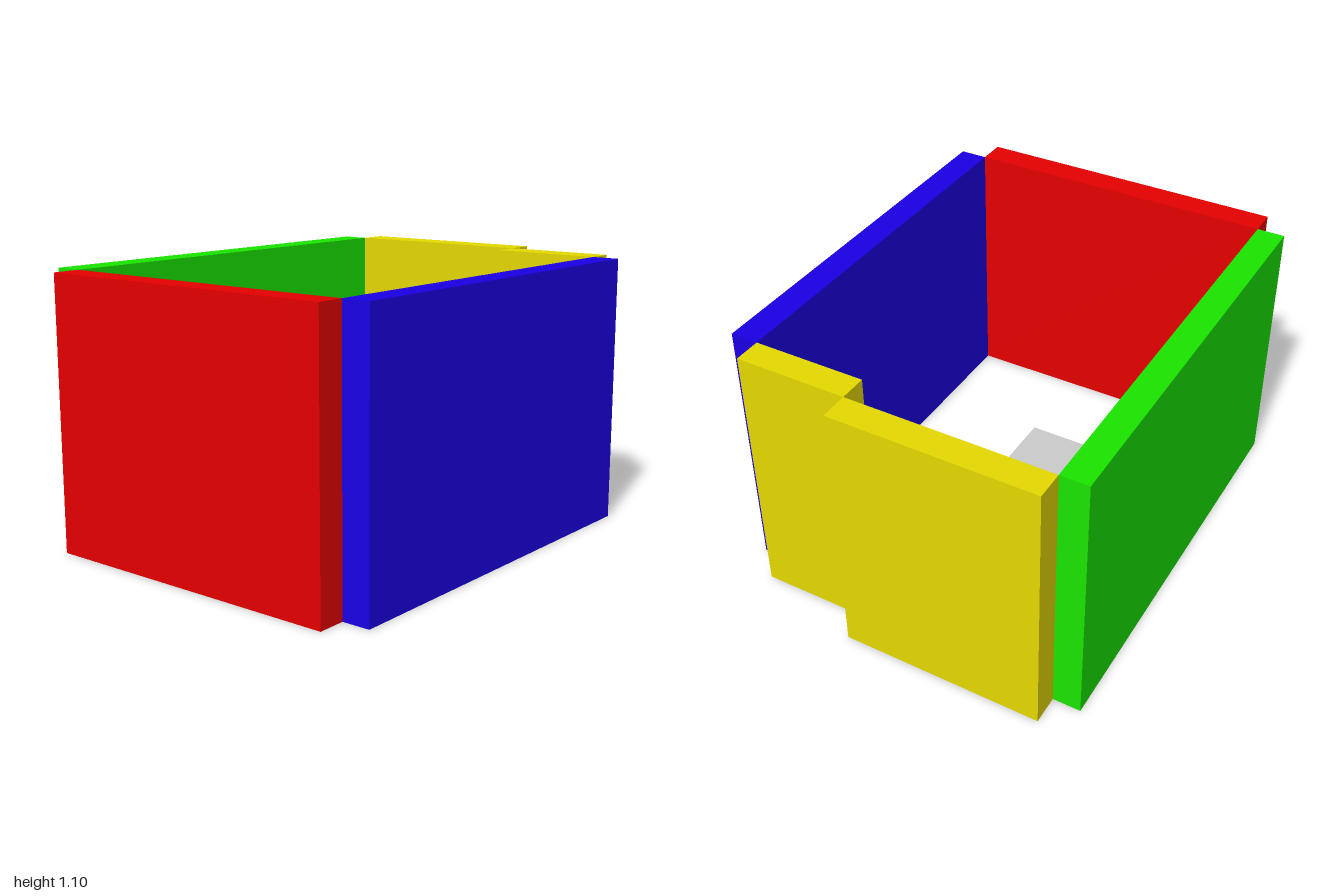
import * as THREE from 'three';

const flat = (name, color) => {
  const m = new THREE.MeshStandardMaterial({ color });
  m.name = name;
  return m;
};

export function createModel() {
  const group = new THREE.Group();
  group.name = 'walledRoom';

  const red = flat('red', 0xe60000);
  const green = flat('green', 0x1ae600);
  const blue = flat('blue', 0x1a00e6);
  const yellow = flat('yellow', 0xe6d900);
  const grey = flat('grey', 0xcccccc);

  // Adds a box spanning the given ranges on each axis
  const block = (name, material, [x0, x1], [y0, y1], [z0, z1]) => {
    const mesh = new THREE.Mesh(new THREE.BoxGeometry(x1 - x0, y1 - y0, z1 - z0), material);
    mesh.position.set((x0 + x1) / 2, (y0 + y1) / 2, (z0 + z1) / 2);
    mesh.name = name;
    group.add(mesh);
  };

  // Walls, meeting edge to edge at the corners
  const height = [0, 1.102];
  block('rightWall', red, [-1, -0.885], height, [-0.651, 0.651]);
  block('backWall', green, [-0.885, 0.882], height, [-0.766, -0.651]);
  block('frontWall', blue, [-0.885, 0.768], height, [0.651, 0.766]);
  block('leftWallRear', yellow, [0.882, 1], height, [-0.651, 0.188]);
  block('leftWallFront', yellow, [0.768, 0.882], height, [0.188, 0.651]);

  // Raised cabinet in the back left corner
  block('cornerCabinet', grey, [0.347, 0.882], [0.41, 0.772], [-0.651, -0.275]);

  return group;
}
